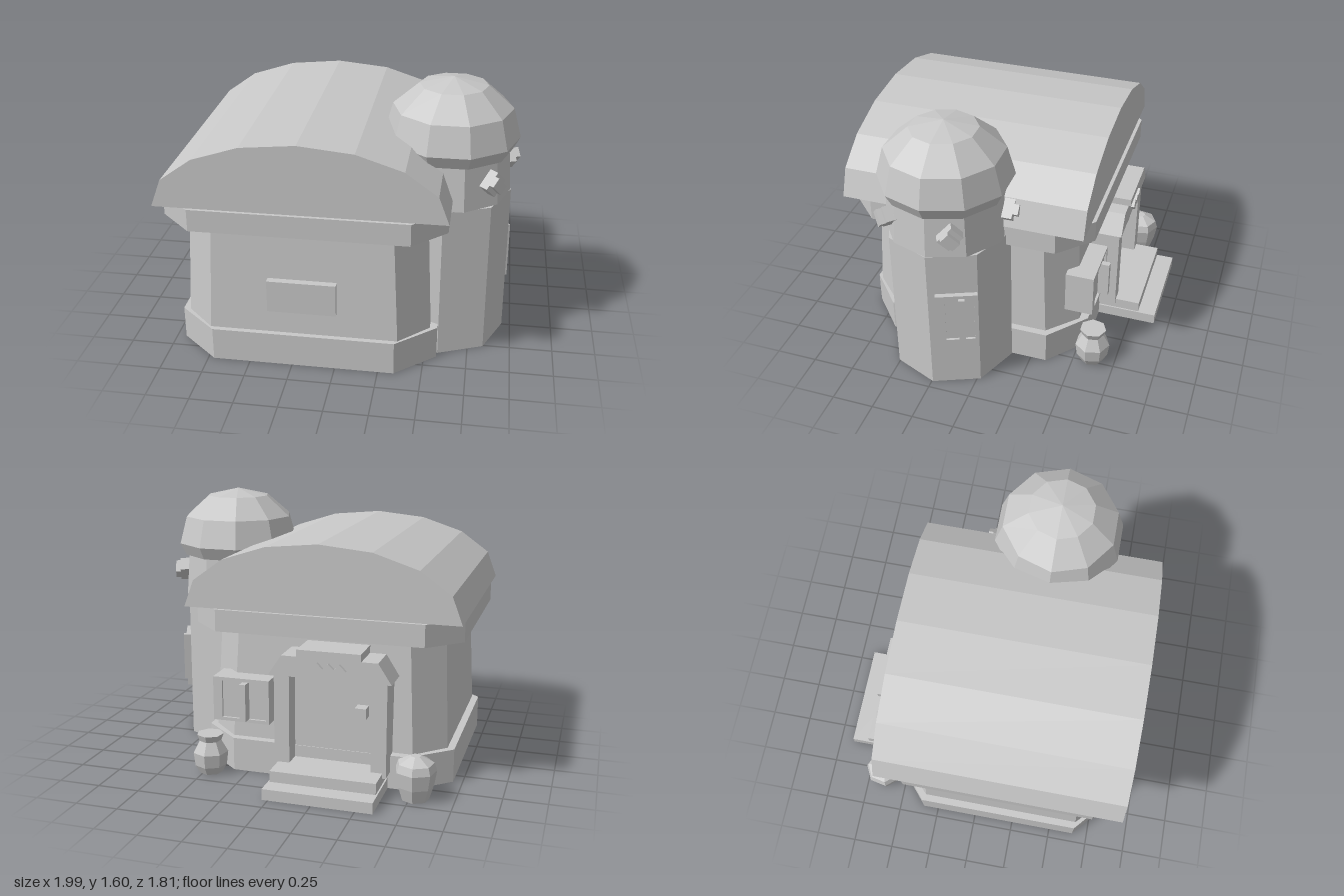
import * as THREE from 'three';

// double-sided because the tower and steps are open below
const stone = new THREE.MeshStandardMaterial({ color: 0xc8c8c8, flatShading: true, side: THREE.DoubleSide });
stone.name = 'grey stone';

// regular ring of n corners around (cx, cz)
function ring(n, r, y, cx, cz, turn = 0) {
  return Array.from({ length: n }, (_, i) => {
    const a = turn + (i / n) * Math.PI * 2;
    return [cx + r * Math.cos(a), y, cz + r * Math.sin(a)];
  });
}

// rectangle with cut corners: half sizes hx, hz and cuts kx, kz
function cutRing(y, cx, cz, hx, hz, kx, kz) {
  const a = hx - kx, b = hz - kz;
  return [[hx, -b], [hx, b], [a, hz], [-a, hz], [-hx, b], [-hx, -b], [-a, -hz], [a, -hz]]
    .map(([x, z]) => [cx + x, y, cz + z]);
}

// body through rings listed from bottom to top, its underside optional
function loft(rings, closedBelow = true) {
  const pos = [];
  const n = rings[0].length;
  const centre = (r) => [0, 1, 2].map((k) => r.reduce((s, p) => s + p[k], 0) / n);
  const low = rings[0], high = rings[rings.length - 1];
  const cl = centre(low), ch = centre(high);
  for (let i = 0; i < n; i++) {
    const j = (i + 1) % n;
    if (closedBelow) pos.push(...cl, ...low[i], ...low[j]);
    pos.push(...ch, ...high[j], ...high[i]);
    for (let k = 0; k + 1 < rings.length; k++) {
      const l = rings[k], u = rings[k + 1];
      pos.push(...l[i], ...u[i], ...l[j], ...l[j], ...u[i], ...u[j]);
    }
  }
  const g = new THREE.BufferGeometry();
  g.setAttribute('position', new THREE.Float32BufferAttribute(pos, 3));
  g.computeVertexNormals();
  return g;
}

function add(parent, name, geometry) {
  const m = new THREE.Mesh(geometry, stone);
  m.name = name;
  parent.add(m);
  return m;
}

// box given by its extents
function block(parent, name, x0, x1, y0, y1, z0, z1) {
  const m = add(parent, name, new THREE.BoxGeometry(x1 - x0, y1 - y0, z1 - z0));
  m.position.set((x0 + x1) / 2, (y0 + y1) / 2, (z0 + z1) / 2);
  return m;
}

// prism from an x-y outline between two z values
function prism(parent, name, outline, z0, z1) {
  const shape = new THREE.Shape(outline.map(([x, y]) => new THREE.Vector2(x, y)));
  const g = new THREE.ExtrudeGeometry(shape, { depth: z1 - z0, bevelEnabled: false });
  return add(parent, name, g.translate(0, 0, z0));
}

// window facing local +z: a wide left jamb and an off-centre raised mullion
function makeWindow(name, w, h, depth, reach) {
  const g = new THREE.Group();
  g.name = name;
  const t = 0.02, x0 = -w / 2, x1 = w / 2, y1 = h / 2;
  block(g, 'windowPane', x0, x1, -y1, y1, -depth, -0.015);
  block(g, 'windowJamb', x0, x0 + 0.055, -y1, y1, -0.02, 0);
  block(g, 'windowJamb', x1 - t, x1, -y1, y1, -0.02, 0);
  for (const s of [-1, 1]) {
    const y = s * (y1 - t / 2);
    block(g, 'windowRail', x0, x1, y - t / 2, y + t / 2, -0.02, 0);
  }
  block(g, 'mullion', 0.01, 0.046, -y1 + t, y1 - t, -0.02, reach);
  return g;
}

export function createModel() {
  const house = new THREE.Group();
  house.name = 'house';
  const cx = -0.187, cz = 0.16;

  // main body: plinth, tapered walls, cornice
  add(house, 'plinth', loft([0, 0.2].map((y) => cutRing(y, cx, 0.155, 0.759, 0.7, 0.23, 0.2))));
  add(house, 'walls', loft([
    cutRing(0.2, cx, 0.165, 0.717, 0.66, 0.172, 0.167),
    cutRing(0.86, cx, 0.165, 0.685, 0.63, 0.172, 0.167),
  ]));
  add(house, 'cornice', loft([0.86, 0.99].map((y) => cutRing(y, cx, cz, 0.803, 0.744, 0.19, 0.185))));

  // faceted barrel roof
  const half = [[0.813, 0.99], [0.753, 1.15], [0.573, 1.28], [0.31, 1.365]];
  prism(house, 'roof', [
    ...half.map(([x, y]) => [cx + x, y]), [cx, 1.395],
    ...half.slice().reverse().map(([x, y]) => [cx - x, y]),
  ], -0.563, 0.885);
  block(house, 'frontPlaque', -0.385, 0.01, 0.35, 0.545, 0.78, 0.85);

  // round tower, open below, with a slimmer neck and a domed cap
  const tx = 0.577, tz = 0.243;
  const tower = new THREE.Group();
  tower.name = 'tower';
  house.add(tower);
  add(tower, 'towerShaft', loft([
    ring(8, 0.373, 0, tx, tz), ring(8, 0.371, 0.925, tx, tz),
  ], false));
  add(tower, 'towerNeck', loft([
    ring(10, 0.366, 0.925, tx, tz), ring(10, 0.345, 1.2, tx, tz),
  ]));
  add(tower, 'dome', loft(
    [[0.35, 1.18], [0.388, 1.255], [0.342, 1.425], [0.195, 1.553], [0.001, 1.597]]
      .map(([r, y]) => ring(10, r, y, tx + 0.016, tz))));

  // place a part on the tower, facing outward
  const onTower = (obj, angle, r, y, slide = 0) => {
    const a = THREE.MathUtils.degToRad(angle);
    obj.position.set(
      tx + r * Math.cos(a) + slide * Math.sin(a), y, tz + r * Math.sin(a) - slide * Math.cos(a));
    obj.rotation.y = Math.PI / 2 - a;
    tower.add(obj);
  };
  onTower(makeWindow('towerWindow', 0.24, 0.34, 0.08, 0.02), -22.5, 0.373, 0.495, 0.018);

  // diamond-shaped pegs around the neck
  for (const angle of [45, -22.5, -90]) {
    const peg = new THREE.Group();
    peg.name = 'towerPeg';
    const turned = new THREE.Group();
    turned.rotation.z = Math.PI / 4;
    peg.add(turned);
    block(turned, 'pegPlate', -0.057, 0.057, -0.045, 0.045, -0.06, 0.0);
    block(turned, 'pegTip', -0.03, 0.03, -0.045, 0.045, 0, 0.03);
    onTower(peg, angle, 0.398, 1.075);
  }

  // rear entrance: two hollow steps, posts, door and lintel
  const dx = -0.283;
  const entrance = new THREE.Group();
  entrance.name = 'entrance';
  house.add(entrance);
  [[0.318, 0.065, -0.908], [0.309, 0.13, -0.8]].forEach(([w, h, z], i) =>
    add(entrance, 'step' + (i + 1), loft([0, h].map((y) =>
      [[dx + w, y, z], [dx + w, y, -0.545], [dx - w, y, -0.545], [dx - w, y, z]]), false)));
  for (const s of [-1, 1]) {
    const x = dx + s * 0.285;
    block(entrance, 'doorPost', x - 0.045, x + 0.045, 0.1, 0.66, -0.65, -0.44);
  }
  block(entrance, 'door', dx - 0.25, dx + 0.25, 0.19, 0.66, -0.54, -0.44);
  block(entrance, 'doorHandle', dx - 0.2, dx - 0.135, 0.42, 0.485, -0.61, -0.53);
  prism(entrance, 'lintel', [
    [dx - 0.358, 0.655], [dx + 0.358, 0.655], [dx + 0.28, 0.775], [dx - 0.28, 0.775],
  ], -0.667, -0.44);
  block(entrance, 'lintelCap', dx - 0.185, dx + 0.185, 0.775, 0.82, -0.68, -0.46);
  for (const i of [-1, 0, 1]) {
    const d = block(entrance, 'lintelDiamond', -0.027, 0.027, -0.027, 0.027, -0.687, -0.65);
    d.position.x = dx + i * 0.065;
    d.position.y = 0.715;
    d.rotation.z = Math.PI / 4;
  }

  // rear window
  const rear = makeWindow('rearWindow', 0.345, 0.265, 0.17, 0.05);
  rear.position.set(0.272, 0.457, -0.592);
  rear.rotation.y = Math.PI;
  house.add(rear);

  // seven-sided jars beside the entrance
  const jar = (name, x, z, profile) =>
    add(house, name, loft(profile.map(([r, y]) => ring(7, r, y, x, z, 0.2))));
  jar('openJar', 0.465, -0.608,
    [[0.068, 0], [0.095, 0.05], [0.105, 0.13], [0.065, 0.2], [0.08, 0.24]]);
  jar('lidJar', -0.778, -0.635,
    [[0.08, 0], [0.105, 0.08], [0.12, 0.17], [0.105, 0.215], [0.03, 0.255]]);

  return house;
}
